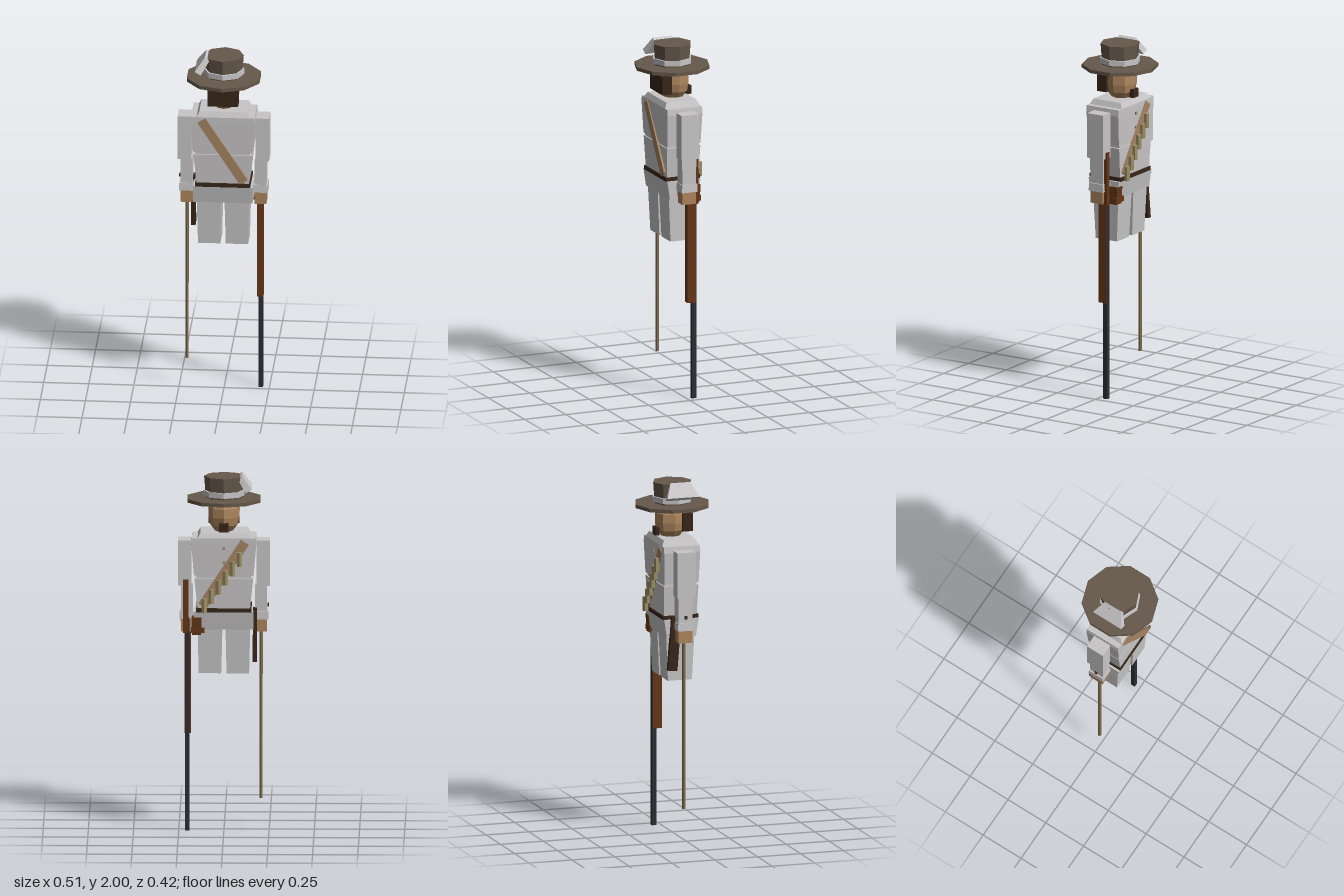
import * as THREE from 'three';

const mat = (name, color) => {
  const m = new THREE.MeshStandardMaterial({ color });
  m.name = name;
  return m;
};

export function createModel() {
  const root = new THREE.Group();
  root.name = 'figure';
  const cloth = mat('paleCloth', 0xc8c6c6);
  const felt = mat('hatFelt', 0x66584b);
  const skin = mat('skin', 0xae865e);
  const hair = mat('darkBrown', 0x38261a);
  const leather = mat('strapLeather', 0xa58462);
  const wood = mat('rifleWood', 0x653717);
  const steel = mat('gunSteel', 0x2b2d31);
  const brass = mat('cartridge', 0x9c9065);
  const cane = mat('caneWood', 0x806c50);

  // Adds a mesh with hard facets
  const add = (name, geo, material, x = 0, y = 0, z = 0) => {
    const flat = geo.index ? geo.toNonIndexed() : geo;
    flat.computeVertexNormals();
    const mesh = new THREE.Mesh(flat, material);
    mesh.name = name;
    mesh.position.set(x, y, z);
    root.add(mesh);
    return mesh;
  };
  const box = (name, m, w, h, d, x, y, z) => add(name, new THREE.BoxGeometry(w, h, d), m, x, y, z);

  // Box from y0 to y1 with separate bottom and top sizes
  const taper = (name, m, y0, y1, w0, d0, w1, d1, x = 0, z = 0) => {
    const g = new THREE.BoxGeometry(1, y1 - y0, 1);
    const p = g.attributes.position;
    for (let i = 0; i < p.count; i++) {
      const top = p.getY(i) > 0;
      p.setX(i, p.getX(i) * (top ? w1 : w0));
      p.setZ(i, p.getZ(i) * (top ? d1 : d0));
    }
    return add(name, g, m, x, (y0 + y1) / 2, z);
  };
  const cyl = (name, m, r0, r1, y0, y1, sides, x = 0, z = 0) =>
    add(name, new THREE.CylinderGeometry(r1, r0, y1 - y0, sides), m, x, (y0 + y1) / 2, z);

  // Hat
  cyl('hatBrim', felt, 0.212, 0.212, 1.85, 1.87, 10);
  cyl('hatCrown', felt, 0.1, 0.11, 1.86, 1.99, 8);
  cyl('hatBand', cloth, 0.114, 0.114, 1.88, 1.91, 8);

  // Leaning plume: section in x/y, narrowing in z towards its top
  const plume = new THREE.BoxGeometry(1, 1, 1);
  const pp = plume.attributes.position;
  for (let i = 0; i < pp.count; i++) {
    const top = pp.getY(i) > 0, outer = pp.getX(i) < 0, front = pp.getZ(i) > 0;
    const [x, y] = top ? (outer ? [-0.1, 2.0] : [-0.075, 1.98])
      : (outer ? [-0.155, 1.925] : [-0.121, 1.905]);
    pp.setXYZ(i, x, y, top ? (front ? 0.072 : -0.042) : (front ? 0.108 : -0.077));
  }
  add('hatPlume', plume, cloth);

  // Head
  const profile = [[0, 1.685], [0.055, 1.685], [0.083, 1.72], [0.092, 1.765], [0.09, 1.815], [0.07, 1.85], [0, 1.85]];
  const head = add('head', new THREE.LatheGeometry(profile.map(([r, y]) => new THREE.Vector2(r, y)), 8), skin, 0, 0, -0.008);
  head.scale.x = 0.93;
  cyl('neck', skin, 0.037, 0.037, 1.65, 1.7, 8);
  box('hair', hair, 0.17, 0.1, 0.058, 0, 1.767, 0.066);
  box('beard', hair, 0.05, 0.048, 0.025, 0, 1.715, -0.093);

  // Tunic
  taper('shoulderCape', cloth, 1.655, 1.685, 0.29, 0.21, 0.26, 0.18);
  taper('shoulders', cloth, 1.62, 1.655, 0.36, 0.21, 0.352, 0.21);
  taper('chest', cloth, 1.445, 1.62, 0.33, 0.2, 0.36, 0.21);
  box('waistSeam', cloth, 0.3, 0.02, 0.185, 0, 1.437, 0);
  taper('waist', cloth, 1.255, 1.43, 0.29, 0.19, 0.326, 0.2);
  box('belt', hair, 0.305, 0.022, 0.206, 0, 1.25, 0);
  taper('tunicSkirt', cloth, 1.14, 1.24, 0.33, 0.17, 0.33, 0.2);
  for (const y of [1.6, 1.52]) box('button', brass, 0.015, 0.015, 0.01, 0, y, -0.107);

  // Legs and arms, mirrored
  for (const s of [-1, 1]) {
    taper('leg', cloth, 0.89, 1.15, 0.124, 0.14, 0.136, 0.165, s * 0.077);
    taper('upperArm', cloth, 1.38, 1.635, 0.074, 0.105, 0.074, 0.105, s * 0.217);
    taper('forearm', cloth, 1.22, 1.385, 0.064, 0.082, 0.066, 0.086, s * 0.205);
    taper('cuff', cloth, 1.19, 1.235, 0.08, 0.094, 0.076, 0.09, s * 0.207);
    taper('hand', skin, 1.12, 1.195, 0.066, 0.08, 0.068, 0.082, s * 0.205);
  }
  box('cuffButton', hair, 0.008, 0.018, 0.015, -0.244, 1.265, 0);

  // Bandolier over both faces of the body, with cartridges
  const tilt = Math.atan2(0.24, 0.37);
  for (const z of [0.104, -0.104]) {
    box('bandolier', leather, 0.052, 0.43, 0.012, 0, 1.455, z).rotation.z = tilt;
  }
  for (let i = 0; i < 6; i++) {
    const x = 0.108 - i * 0.039, y = 1.28 + i * 0.052;
    cyl('cartridge', brass, 0.017, 0.017, y - 0.04, y + 0.04, 6, x, -0.118);
  }

  // Sheath and pouch
  box('sheath', hair, 0.024, 0.3, 0.055, -0.172, 1.105, -0.045).rotation.x = 0.08;
  taper('pouch', wood, 1.11, 1.21, 0.05, 0.045, 0.055, 0.055, 0.15, -0.068);
  box('pouchFlap', wood, 0.075, 0.03, 0.03, 0.145, 1.135, -0.08);

  // Cane
  cyl('cane', cane, 0.01, 0.011, 0.175, 1.13, 6, -0.205, 0);

  // Rifle held muzzle down
  box('rifleStock', wood, 0.036, 0.57, 0.05, 0.2, 0.835, -0.024);
  box('rifleButt', wood, 0.03, 0.3, 0.02, 0.212, 1.265, -0.05);
  box('rifleBarrel', steel, 0.024, 1.2, 0.026, 0.202, 0.6, -0.04);
  return root;
}
